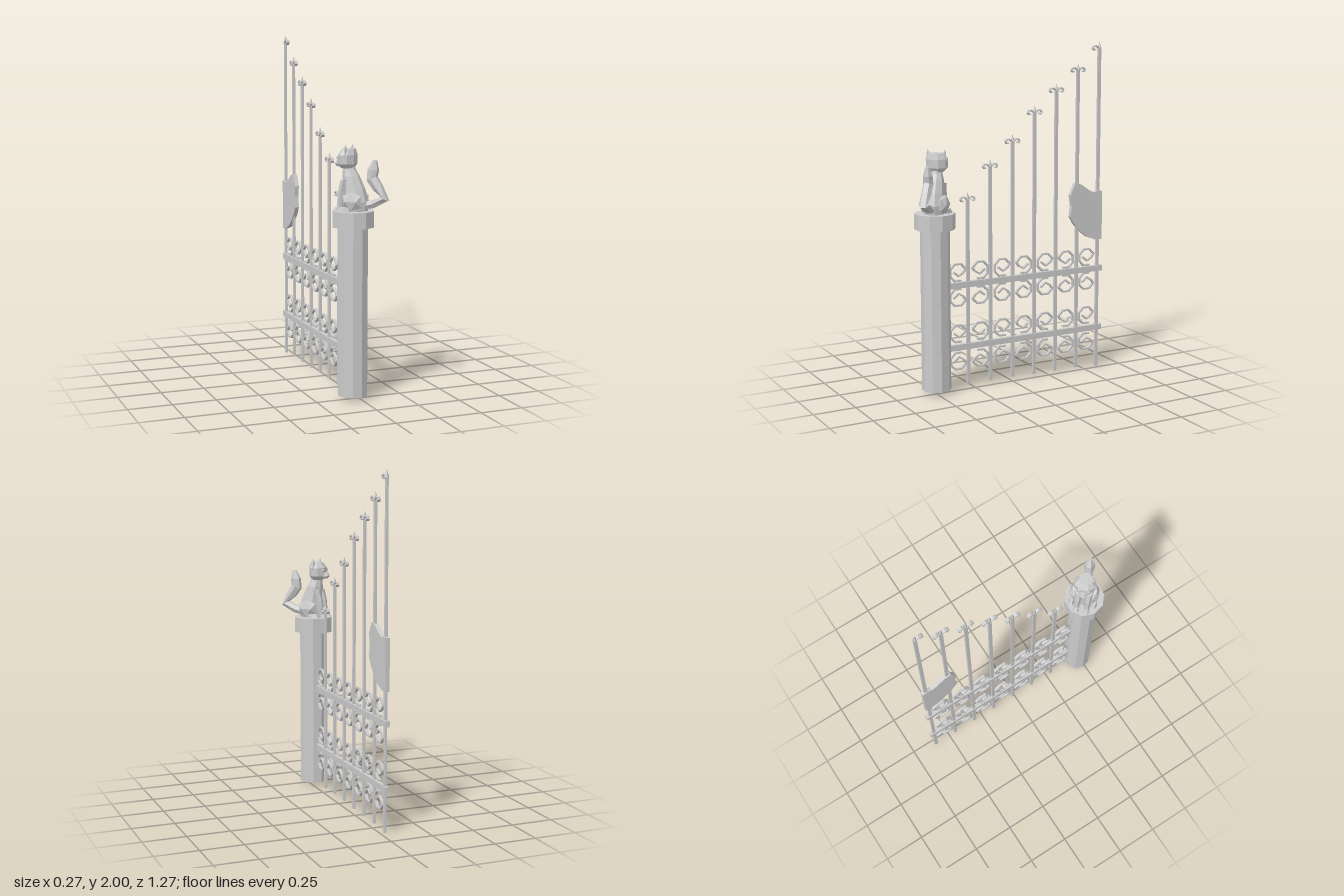
import * as THREE from 'three';

const mat = new THREE.MeshStandardMaterial({ color: 0xcccccc, flatShading: true, side: THREE.DoubleSide });
const GATE_X = -0.03;
const V2 = (p) => new THREE.Vector2(p[0], p[1]);

function add(parent, name, geo, x = 0, y = 0, z = 0) {
  const m = new THREE.Mesh(geo, mat);
  m.name = name;
  m.position.set(x, y, z);
  parent.add(m);
  return m;
}

// Extrudes an outline drawn in (z, y) to a slab centred on the gate plane
function slab(points, depth) {
  const g = new THREE.ExtrudeGeometry(new THREE.Shape(points), { depth, bevelEnabled: false });
  g.translate(0, 0, -depth / 2);
  g.rotateY(-Math.PI / 2);
  return g;
}

// Flat iron strip following a polyline
function strip(path, width, depth) {
  const pts = path.map(V2), left = [], right = [];
  pts.forEach((p, i) => {
    const a = pts[Math.max(i - 1, 0)], b = pts[Math.min(i + 1, pts.length - 1)];
    const d = b.clone().sub(a).normalize();
    const n = new THREE.Vector2(-d.y, d.x).multiplyScalar(width / 2);
    left.push(p.clone().add(n));
    right.unshift(p.clone().sub(n));
  });
  return slab([...left, ...right], depth);
}

// Loft of polygon rings: [y, z, half width, half depth, tilt]
function loft(rings, sides) {
  const pos = [], idx = [], n = rings.length;
  for (const [y, z, rx, rz, tilt = 0] of rings) {
    for (let i = 0; i < sides; i++) {
      const a = ((i + 0.5) / sides) * Math.PI * 2;
      const d = Math.cos(a) * rz;
      pos.push(Math.sin(a) * rx, y - d * Math.sin(tilt), z + d * Math.cos(tilt));
    }
  }
  for (let r = 0; r < n - 1; r++) {
    for (let i = 0; i < sides; i++) {
      const j = (i + 1) % sides, a = r * sides + i, b = r * sides + j;
      idx.push(a, b, b + sides, a, b + sides, a + sides);
    }
  }
  for (let i = 1; i < sides - 1; i++) {
    const t = (n - 1) * sides;
    idx.push(0, i + 1, i, t, t + i, t + i + 1);
  }
  const g = new THREE.BufferGeometry();
  g.setAttribute('position', new THREE.Float32BufferAttribute(pos, 3));
  g.setIndex(idx);
  g.computeVertexNormals();
  return g;
}

function makePillar() {
  const g = new THREE.Group();
  g.name = 'pillar';
  const start = THREE.MathUtils.degToRad(14);
  const drum = (r, h) => new THREE.CylinderGeometry(r, r, h, 10, 1, false, start);
  add(g, 'pillarShaft', drum(0.085, 0.95), 0, 0.495, 0);
  add(g, 'pillarCap', drum(0.118, 0.09), 0, 1.01, 0);
  g.position.set(-0.031, 0, 0.486);
  return g;
}

function makeGate() {
  const g = new THREE.Group();
  g.name = 'gate';
  g.position.x = GATE_X;

  // Rails
  for (const y of [0.25, 0.62]) add(g, 'rail', new THREE.BoxGeometry(0.025, 0.035, 1.04), 0, y, -0.11);

  // Upright bars with spear tips and small side curls
  const tops = [1.16, 1.34, 1.475, 1.635, 1.757, 1.87, 1.995];
  const curl = [[0, -0.05], [0.012, -0.036], [0.026, -0.028], [0.04, -0.032],
    [0.045, -0.043], [0.038, -0.053], [0.028, -0.049]];
  tops.forEach((top, i) => {
    const z = 0.28 - i * 0.1467, foot = i < 3 ? 0.02 : i < 6 ? 0.012 : 0;
    add(g, 'bar', new THREE.BoxGeometry(0.013, top - 0.04 - foot, 0.02), 0, (top - 0.04 + foot) / 2, z);
    add(g, 'barTip', new THREE.ConeGeometry(0.014, 0.045, 4), 0, top - 0.0225, z);
    for (const s of i < 6 ? [1, -1] : [1]) {
      add(g, 'tipCurl', strip(curl.map(([a, b]) => [a * s, b]), 0.007, 0.02), 0, top, z);
    }
  });

  // Scrolls above and below each rail, mirrored from bay to bay
  const scroll = [];
  for (let k = 1; k <= 7; k++) {
    const a = (-22.5 - 45 * k) * Math.PI / 180;
    scroll.push([Math.cos(a) * 0.053, Math.sin(a) * 0.053]);
  }
  scroll.push([0.05, 0.018], [0.036, -0.002], [0.004, -0.022], [-0.028, 0.004]);
  for (let i = 0; i < 7; i++) {
    const z = 0.345 - i * 0.1448, s = i % 2 ? -1 : 1;
    for (const [y, v] of [[0.695, 1], [0.548, -1], [0.332, 1], [0.168, -1]]) {
      add(g, 'scroll', strip(scroll.map(([a, b]) => [-a * s, b * v]), 0.011, 0.016), 0, y, z);
    }
  }

  // Half of a shaped plate at the free end
  const plate = [[-0.435, 1.155], [-0.48, 1.145], [-0.525, 1.112], [-0.565, 1.09], [-0.6, 1.1], [-0.625, 1.095],
    [-0.625, 0.798], [-0.58, 0.8], [-0.525, 0.82], [-0.47, 0.862], [-0.425, 0.915],
    [-0.402, 0.955], [-0.412, 1.02], [-0.402, 1.085]];
  add(g, 'plate', slab(plate.map(V2), 0.025));
  return g;
}

// Sitting cat, modelled facing +z and then turned
function makeCat() {
  const g = new THREE.Group();
  g.name = 'cat';
  add(g, 'body', loft([
    [0, -0.01, 0.06, 0.068], [0.05, -0.012, 0.066, 0.072], [0.12, 0.0, 0.055, 0.062],
    [0.19, 0.018, 0.045, 0.048], [0.225, 0.028, 0.034, 0.036], [0.26, 0.033, 0.028, 0.03]], 8));

  add(g, 'head', loft([
    [0.232, 0.038, 0.04, 0.036], [0.255, 0.04, 0.062, 0.053], [0.305, 0.038, 0.064, 0.052],
    [0.338, 0.03, 0.042, 0.036]], 8));
  add(g, 'muzzle', loft([
    [0.24, 0.085, 0.02, 0.015], [0.255, 0.09, 0.026, 0.024], [0.277, 0.086, 0.016, 0.016]], 6));

  // Tail: out behind, then sharply up
  add(g, 'tail', loft([
    [0.025, -0.04, 0.02, 0.025, -Math.PI / 2], [0.04, -0.11, 0.026, 0.025, -1.35],
    [0.075, -0.18, 0.03, 0.026, -0.5], [0.13, -0.14, 0.03, 0.03, 0.5],
    [0.18, -0.106, 0.03, 0.034, 0.4], [0.23, -0.112, 0.028, 0.032, -0.1],
    [0.28, -0.122, 0.012, 0.012, -0.2]], 6));

  for (const s of [-1, 1]) {
    const ear = add(g, 'ear', new THREE.ConeGeometry(0.029, 0.062, 4), s * 0.045, 0.332, 0.03);
    ear.rotation.z = -s * 0.3;
    ear.scale.z = 0.65;
    add(g, 'eye', new THREE.IcosahedronGeometry(0.01, 0), s * 0.028, 0.292, 0.083);
    add(g, 'frontLeg', loft([
      [0, 0.078, 0.018, 0.02], [0.025, 0.07, 0.016, 0.017], [0.1, 0.06, 0.02, 0.022],
      [0.17, 0.04, 0.024, 0.026]], 6), s * 0.03);
    add(g, 'frontPaw', loft([[0, 0.088, 0.02, 0.024], [0.018, 0.084, 0.014, 0.016]], 6), s * 0.03);
    const haunch = add(g, 'haunch', new THREE.IcosahedronGeometry(0.06, 0), s * 0.055, 0.055, -0.01);
    haunch.scale.set(0.55, 1, 1.05);
    add(g, 'hindPaw', loft([[0, 0.035, 0.02, 0.042], [0.024, 0.028, 0.014, 0.032]], 6), s * 0.066);
  }
  g.position.set(-0.026, 1.055, 0.486);
  g.rotation.y = -Math.PI * 0.75;
  return g;
}

export function createModel() {
  const model = new THREE.Group();
  model.name = 'gateWithCatPillar';
  model.add(makePillar(), makeGate(), makeCat());
  return model;
}
